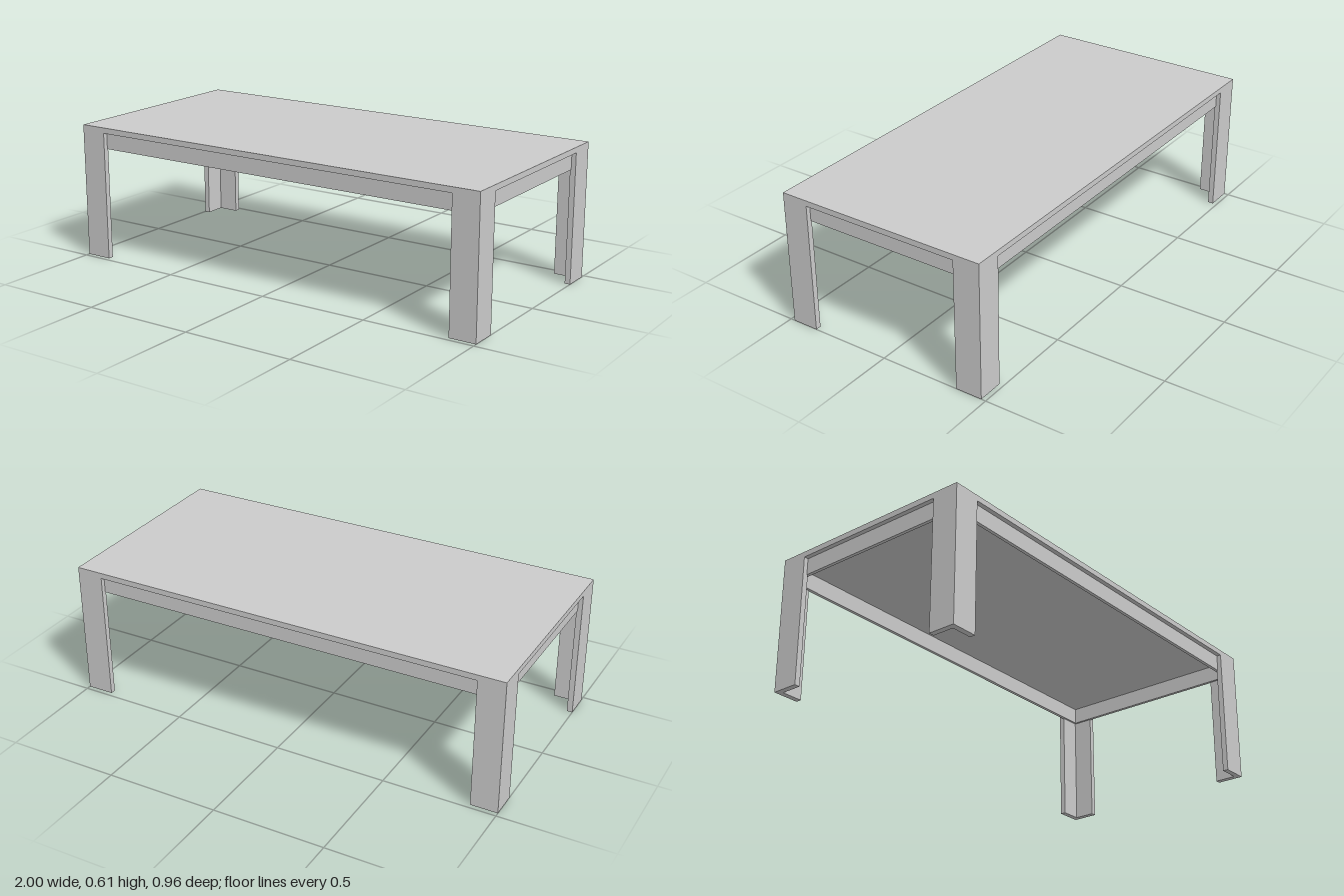
import * as THREE from 'three';

const W = 2, D = 0.96, H = 0.605;      // overall size
const TOP = 0.025;                     // table top thickness
const LEG = 0.12, PLATE = 0.025;       // angle leg width and plate thickness
const APRON_Y = 0.505, INSET = 0.02, APRON = 0.015;

const material = new THREE.MeshStandardMaterial({ color: 0xcccccc, flatShading: true });

export function createModel() {
  const table = new THREE.Group();
  table.name = 'table';
  const under = H - TOP;

  const add = (name, geometry, x, y, z) => {
    const mesh = new THREE.Mesh(geometry, material);
    mesh.name = name;
    mesh.position.set(x, y, z);
    table.add(mesh);
  };

  // Flat rectangular top
  add('tableTop', new THREE.BoxGeometry(W, TOP, D), 0, H - TOP / 2, 0);

  // L-section legs, one at each corner, open towards the inside
  for (const [sx, xName] of [[1, 'Left'], [-1, 'Right']]) {
    for (const [sz, zName] of [[1, 'front'], [-1, 'back']]) {
      const outline = [[0, 0], [LEG, 0], [LEG, PLATE], [PLATE, PLATE], [PLATE, LEG], [0, LEG]];
      // shape y becomes -z once the extrusion is stood upright
      const shape = new THREE.Shape(outline.map(([a, b]) =>
        new THREE.Vector2(sx * (W / 2 - a), -sz * (D / 2 - b))));
      const leg = new THREE.ExtrudeGeometry(shape, { depth: under, bevelEnabled: false });
      leg.rotateX(-Math.PI / 2);
      add(zName + xName + 'Leg', leg, 0, 0, 0);
    }
  }

  // Aprons set back from the edge, joining the legs
  const h = under - APRON_Y, y = APRON_Y + h / 2;
  const longApron = new THREE.BoxGeometry(W - 2 * INSET, h, APRON);
  const sideApron = new THREE.BoxGeometry(APRON, h, D - 2 * INSET);
  for (const s of [1, -1]) {
    add(s > 0 ? 'frontApron' : 'backApron', longApron, 0, y, s * (D / 2 - INSET - APRON / 2));
    add(s > 0 ? 'leftApron' : 'rightApron', sideApron, s * (W / 2 - INSET - APRON / 2), y, 0);
  }
  return table;
}
